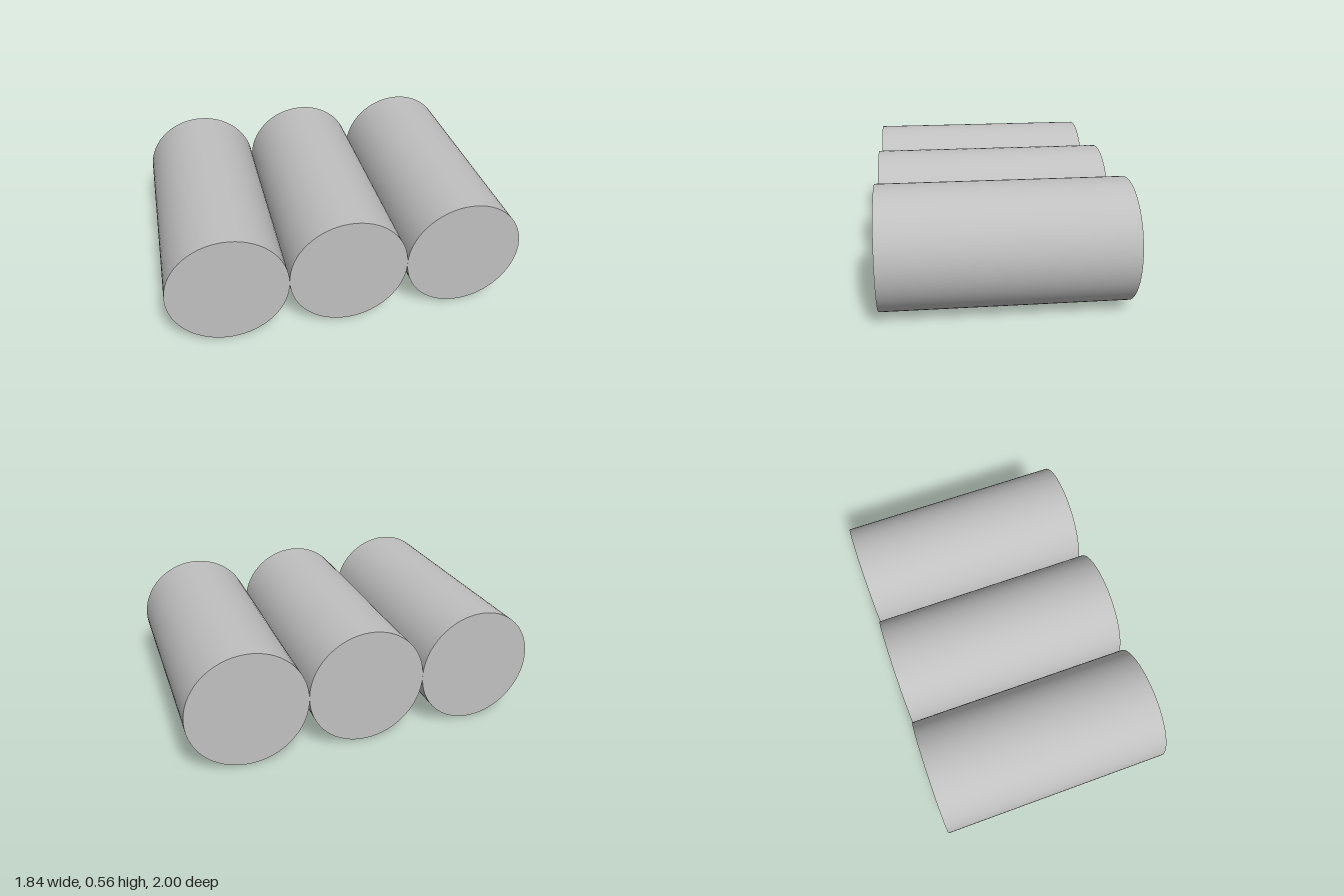
import * as THREE from 'three';

// Three equal cylinders lying side by side, turned as a raft about y
export function createModel() {
  const model = new THREE.Group();
  model.name = 'cylinderRow';

  const grey = new THREE.MeshStandardMaterial({ color: 0xc0c0c0 });
  grey.name = 'light grey';

  const radius = 0.278;
  const length = 1.104;
  const geometry = new THREE.CylinderGeometry(radius, radius, length, 64);
  geometry.rotateZ(Math.PI / 2);

  ['backCylinder', 'middleCylinder', 'frontCylinder'].forEach((name, i) => {
    const cylinder = new THREE.Mesh(geometry, grey);
    cylinder.name = name;
    cylinder.position.set(0, radius, (i - 1) * radius * 2);
    model.add(cylinder);
  });

  model.rotation.y = -Math.atan2(0.61, 0.92);
  return model;
}
